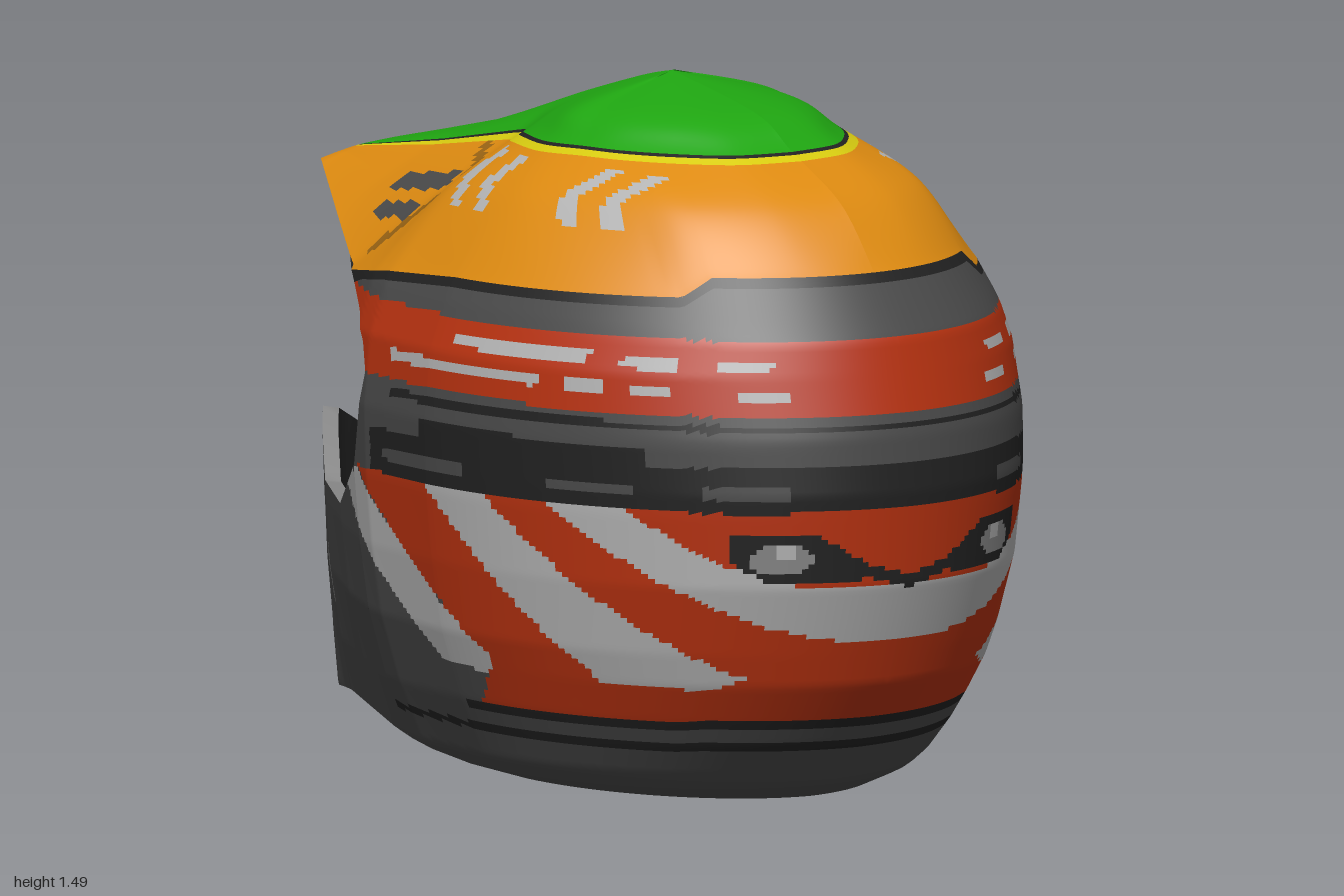
import * as THREE from 'three';

const flat = (color, side = THREE.FrontSide) => new THREE.MeshStandardMaterial({ color, side });
const palette = {
  orange: flat(0xdd8a10), amber: flat(0x9a6414), green: flat(0x1fa511), yellow: flat(0xd8cc10),
  red: flat(0xb83210), white: flat(0xb4b4b4), gray: flat(0x4a4a4a, THREE.DoubleSide),
  black: flat(0x222222, THREE.DoubleSide), trim: flat(0x868686, THREE.DoubleSide),
};
for (const key in palette) palette[key].name = key;
const keys = Object.keys(palette);

// Small helpers: table lookup, smooth interpolation, 2D tests
const mix = (a, b, t) => a + (b - a) * t;
function tab(rows, t, col = 1) {
  const dir = Math.sign(rows[rows.length - 1][0] - rows[0][0]);
  if ((t - rows[0][0]) * dir <= 0) return rows[0][col];
  for (let i = 1; i < rows.length; i++) {
    const [a, b] = [rows[i - 1], rows[i]];
    if ((b[0] - t) * dir >= 0) return mix(a[col], b[col], (t - a[0]) / (b[0] - a[0]));
  }
  return rows[rows.length - 1][col];
}
const spline = (a, b, c, d, t) =>
  b + 0.5 * t * (c - a + t * (2 * a - 5 * b + 4 * c - d + t * (3 * (b - c) + d - a)));
function sample(list, t) {
  const n = list.length - 1, i = Math.min(Math.floor(t), n - 1);
  const at = (j) => list[Math.max(0, Math.min(n, j))];
  return [0, 1, 2].map((c) => spline(at(i - 1)[c], at(i)[c], at(i + 1)[c], at(i + 2)[c], t - i));
}
function inside(poly, x, y) {
  let hit = false;
  for (let i = 0, j = poly.length - 1; i < poly.length; j = i++) {
    const [ax, ay] = poly[i], [bx, by] = poly[j];
    if (ay > y !== by > y && x < ((bx - ax) * (y - ay)) / (by - ay) + ax) hit = !hit;
  }
  return hit;
}
function near(ax, ay, bx, by, x, y, r) {
  const dx = bx - ax, dy = by - ay;
  const t = Math.max(0, Math.min(1, ((x - ax) * dx + (y - ay) * dy) / (dx * dx + dy * dy)));
  return Math.hypot(x - ax - t * dx, y - ay - t * dy) < r;
}

// Main shell: rounded back and straight flanks, by height
const backX = [[0, .62], [.04, .7], [.14, .8], [.28, .9], [.5, .98], [.7, 1], [.82, .99], [1.02, .94], [1.15, .85]];
const width = [[0, .36], [.03, .45], [.07, .5], [.2, .56], [.35, .61], [.5, .635], [.65, .65], [.8, .655], [.95, .64], [1.05, .6], [1.15, .55]];
const flank = [[.13, 1], [-.12, .97], [-.2, .93], [-.41, .77]];
const openX = [[.66, -.2], [.87, -.13], [.93, -.16], [.98, -.22], [1.04, -.4]];
const shellTop = [[0, 1.15], [.24, 1.15], [.28, 1.11], [.6, 1.1], [.8, 1.08], [1, 1.04]];
const shellBottom = [[0, 0], [.6, .01], [1, .06]];
function shellAt(s, y) {
  const w = tab(width, y);
  if (s < .6) {
    const a = (s / .6) * Math.PI / 2;
    return [.13 + (tab(backX, y) - .13) * Math.cos(a), y, w * Math.sin(a)];
  }
  const x = mix(.13, tab(openX, y), (s - .6) / .4);
  return [x, y, w * tab(flank, x)];
}
const shell = (u, v) => shellAt(u, mix(tab(shellTop, u), tab(shellBottom, u), v));

// Chin bar: f, x, width factor, top, bottom
const chinPath = [[0, -.2, .93, .66, .06], [.25, -.41, .77, .54, .08], [.55, -.69, .52, .54, .085],
  [.75, -.85, .35, .67, .065], [.9, -.94, .15, .61, .08], [1, -.96, 0, .6, .11]];
function chin(u, v) {
  const y = mix(tab(chinPath, u, 3), tab(chinPath, u, 4), v);
  const x = tab(chinPath, u, 1) + (u > .7 ? (u - .7) * (.3 * y - Math.max(0, .22 - y) * 1.3 - .1) : 0);
  return [x, y, tab(width, y) * tab(chinPath, u, 2)];
}

// Crown and peak: loops from the ridge outward, back to front
const ridge = [...Array(6).fill([.11, 1.49, 0]), [0, 1.465, 0], [-.24, 1.395, 0], [-.5, 1.31, 0], [-.76, 1.25, 0], [-.77, 1.245, 0]];
const crown = [[.42, 1.435, 0], [.39, 1.435, .09], [.34, 1.435, .15], [.26, 1.435, .2], [.18, 1.435, .22], [.1, 1.435, .23],
  [-.02, 1.42, .17], [-.22, 1.375, .09], [-.5, 1.3, .08], [-.765, 1.245, .09], [-.775, 1.24, 0]];
const greenEdge = [[.55, 1.37, 0], [.52, 1.37, .13], [.43, 1.37, .22], [.33, 1.37, .28], [.23, 1.37, .31], [.1, 1.365, .32],
  [-.05, 1.36, .27], [-.22, 1.335, .16], [-.5, 1.28, .16], [-.775, 1.235, .18], [-.78, 1.235, 0]];
const shoulder = [[.73, 1.28, 0], [.69, 1.28, .16], [.6, 1.28, .29], [.5, 1.275, .36], [.3, 1.27, .43], [.13, 1.26, .455],
  [-.1, 1.25, .42], [-.3, 1.2, .33], [-.57, 1.2, .26], [-.815, 1.218, .205], [-.815, 1.218, 0]];
const peakRim = [[7, -.4, 1.04, .462], [8, -.62, 1.12, .35], [9, -.85, 1.2, .23], [10, -.85, 1.2, 0]];
const rimS = [0, .12, .24, .3, .45, .6, .8, 1].map((s, i) => [i, s]);
const loopAt = (loop, k) => (k < 7 ? sample(loop, k)
  : [0, 1, 2].map((c) => tab(loop.map((p, i) => [i, p[c]]), k)));
function rimAt(k) {
  if (k > 7) return [1, 2, 3].map((c) => tab(peakRim, k, c));
  const s = tab(rimS, k);
  return shellAt(s, tab(shellTop, s));
}
function cap(u, v) {
  const k = u * 10;
  return sample([...[ridge, crown, greenEdge, shoulder].map((l) => loopAt(l, k)), rimAt(k)], v * 4);
}

// Paint rules
const stripes = [
  [[-.3, .61], [-.18, .66], [.28, .3], [.25, .27], [.1, .28]],
  [[.12, .665], [.31, .665], [.8, .3], [.75, .27], [.55, .28]],
  [[.48, .665], [.66, .665], [.83, .55], [.93, .5], [1.1, .5], [1.1, .35], [.955, .36], [.85, .42]],
];
const eye = [[-.01, .49], [.1, .52], [.15, .51], [.3, .51], [.36, .56], [.37, .62], [.22, .62], [.1, .55], [-.01, .52]];
const redArea = [[-.18, .665], [1.1, .665], [1.1, .2], [.2, .2], [.28, .3]];
const dashes = [[.2, .56, .98], [-.03, .45, .922], [.63, .73, .975], [.8, .87, .975],
  [.52, .6, .92], [.66, .73, .92], [.84, .9, .91]];
function paintShell([x, y, z], u, v) {
  if (v < .02) return 'black';
  if (y > 1.025) return 'gray';
  if (y > .87) return dashes.some(([a, b, h]) => x > a && x < b && Math.abs(y - h) < .012) ? 'white' : 'red';
  if (y > .665) {
    if (y > .835 && y < .852 && x > -.02) return 'black';
    if (y > .76 || x < -.1) return y < .8 && x > .1 && x < .7 ? 'black' : 'gray';
    const dash = (x > -.05 && x < .26) || (x > .48 && x < .68) || (x > .8 && x < .92);
    return dash && y > .695 && y < .72 ? 'gray' : 'black';
  }
  if (x > .5 && inside(eye, z, y)) {
    if (Math.hypot(z - .27, y - .58) < .018) return 'white';
    return Math.hypot((z - .275) / .06, (y - .565) / .033) < 1 ? 'trim' : 'black';
  }
  if (stripes.some((p) => inside(p, x, y))) return 'white';
  if (inside(redArea, x, y)) return 'red';
  if (y > .18 && y < .2 && x > .15) return 'black';
  return y > .13 && y < .145 && x > -.2 ? 'black' : 'gray';
}
function paintChin([x, y]) {
  if ([.43, .37, .31].some((h) => near(-.95, h + .02, -.865, h - .02, x, y, .011))) return 'black';
  if (near(-.755, .38, -.705, .29, x, y, .017)) return 'trim';
  return inside(stripes[0], x, y) ? 'white' : 'gray';
}
function paintCap([x, y], u, v) {
  const k = u * 10, r = v * 4;
  if (r < 2) return 'green';
  if (k > 9) return r < 2.8 ? 'black' : 'yellow';
  if (r < 2.067) return 'black';
  if (r < 2.2) return 'yellow';
  const h = Math.abs(y - 1.28);
  if (h < .055 && [-.07, .04, .32, .43].some((c) => Math.abs(x - c - h * .8) < .022)) return 'white';
  if (near(-.49, 1.2, -.29, 1.23, x, y, .016) || near(-.47, 1.15, -.34, 1.165, x, y, .016)) return 'gray';
  if (near(-.3, 1.31, -.2, 1.23, x, y, .014) || near(-.2, 1.23, -.38, 1.09, x, y, .014)) return 'amber';
  return 'orange';
}

// Mirrored pair of sheets, each cell coloured by the paint rule
function sheet(name, fn, paint, nu, nv) {
  const pair = new THREE.Group();
  pair.name = name;
  for (const side of [1, -1]) {
    const pos = [], cells = {};
    for (let j = 0; j <= nv; j++) for (let i = 0; i <= nu; i++) {
      const [x, y, z] = fn(i / nu, j / nv);
      pos.push(x, y, z * side);
    }
    for (let j = 0; j < nv; j++) for (let i = 0; i < nu; i++) {
      const u = (i + .5) / nu, v = (j + .5) / nv, a = j * (nu + 1) + i, c = a + nu + 1;
      const key = typeof paint === 'string' ? paint : paint(fn(u, v), u, v);
      const quad = side > 0 ? [a, a + 1, c, a + 1, c + 1, c] : [a, c, a + 1, a + 1, c, c + 1];
      (cells[key] ??= []).push(...quad);
    }
    const geo = new THREE.BufferGeometry(), index = [];
    geo.setAttribute('position', new THREE.Float32BufferAttribute(pos, 3));
    for (const key in cells) {
      geo.addGroup(index.length, cells[key].length, keys.indexOf(key));
      for (const n of cells[key]) index.push(n);
    }
    geo.setIndex(index);
    geo.computeVertexNormals();
    const mesh = new THREE.Mesh(geo, typeof paint === 'string' ? palette[paint] : keys.map((k) => palette[k]));
    mesh.name = name + (side > 0 ? 'Left' : 'Right');
    pair.add(mesh);
  }
  return pair;
}
const inner = ([x, y, z], drop = 0) => [x * .95, y - drop, z * .95];
const rimStrip = (edge) => (u, v) => {
  const p = edge(u), q = inner(p);
  return p.map((c, i) => mix(c, q[i], v));
};

export function createModel() {
  const model = new THREE.Group();
  model.name = 'helmet';
  model.add(
    sheet('shell', shell, paintShell, 130, 110),
    sheet('chinBar', chin, paintChin, 60, 50),
    sheet('crownAndPeak', cap, paintCap, 120, 60),
    // Dark lining
    sheet('shellLining', (u, v) => inner(shell(u, v)), 'black', 30, 24),
    sheet('chinLining', (u, v) => inner(chin(u, v)), 'black', 20, 8),
    sheet('crownLining', (u, v) => inner(cap(u, v), .03 * (1 - v)), 'black', 40, 16),
    // Edges closing shell to lining
    sheet('eyePortEdge', rimStrip((u) => shell(1, u * .4)), 'trim', 24, 1),
    sheet('chinTopEdge', rimStrip((u) => chin(u, 0)), 'trim', 40, 1),
    sheet('neckEdge', rimStrip((u) => shell(u, 1)), 'gray', 40, 1),
    sheet('chinBottomEdge', rimStrip((u) => chin(u, 1)), 'gray', 40, 1),
    sheet('peakEdge', rimStrip((u) => rimAt(7 + u * 3)), 'black', 12, 1),
  );
  return model;
}
